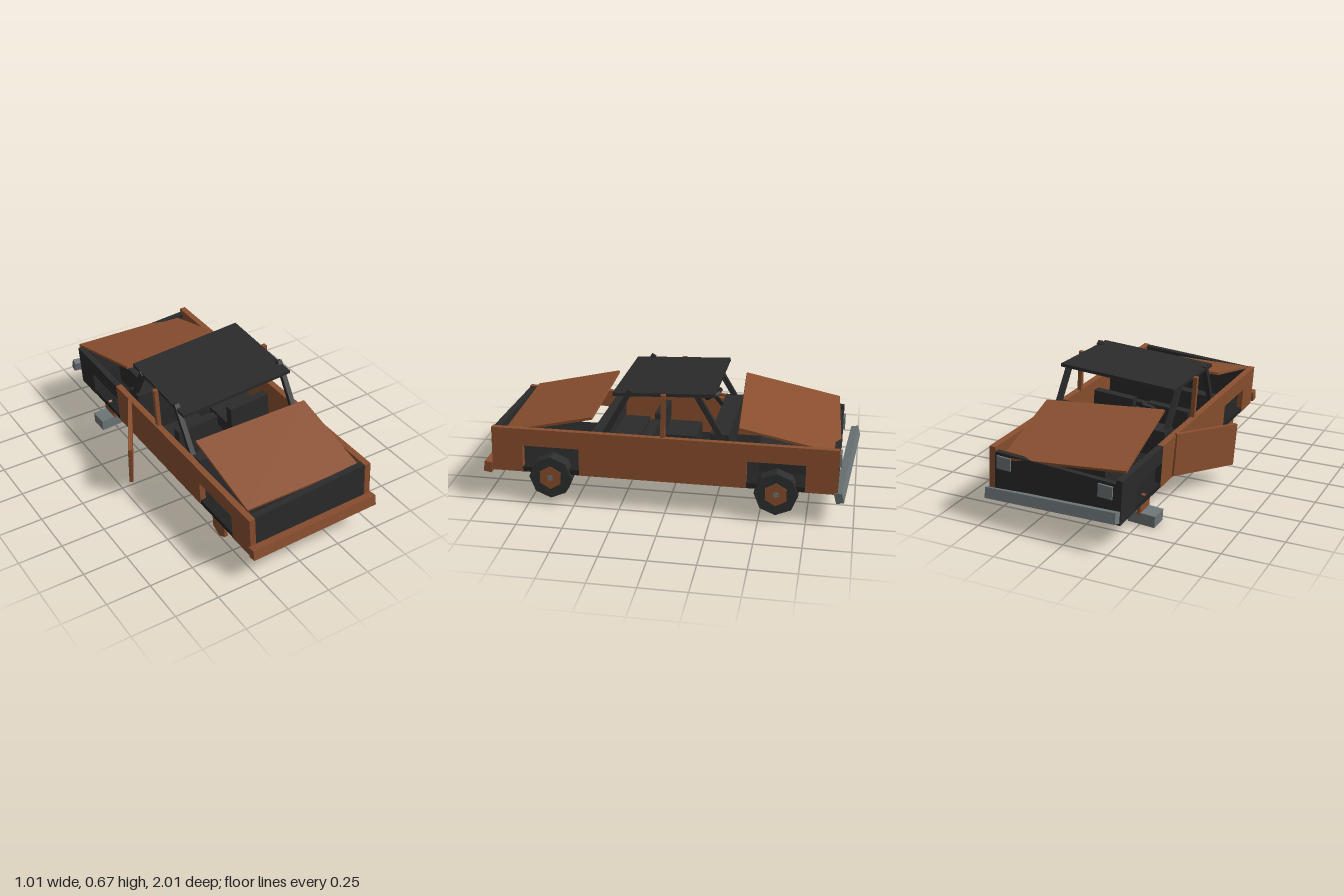
import * as THREE from 'three';

const V = (x, y, z) => new THREE.Vector3(x, y, z);

export function createModel() {
  const mat = (name, color) => {
    const m = new THREE.MeshStandardMaterial({ color, flatShading: true });
    m.name = name;
    return m;
  };
  const rust = mat('rust', 0x8a4f2f);
  const dark = mat('charcoal', 0x2b2b2b);
  const black = mat('black', 0x222222);
  const rubber = mat('rubber', 0x2d2f2f);
  const steel = mat('steel', 0x6e7678);

  const model = new THREE.Group();
  model.name = 'wreckedCar';
  // The whole shell leans to one side
  const body = new THREE.Group();
  body.name = 'body';
  body.position.set(0.1025, 0.15, 0);
  body.rotation.z = 0.07;
  model.add(body);

  const add = (parent, name, geo, material, x = 0, y = 0, z = 0) => {
    const m = new THREE.Mesh(geo, material);
    m.name = name;
    m.position.set(x, y, z);
    parent.add(m);
    return m;
  };
  const box = (parent, name, material, w, h, d, x, y, z) =>
    add(parent, name, new THREE.BoxGeometry(w, h, d), material, x, y, z);

  // Box placed by its centre and two edge directions, for bent and loose parts
  const slab = (name, material, size, c, xDir, zDir) => {
    const m = box(model, name, material, ...size, ...c);
    const x = V(...xDir).normalize();
    const y = V(...zDir).cross(x).normalize();
    const z = x.clone().cross(y);
    m.quaternion.setFromRotationMatrix(new THREE.Matrix4().makeBasis(x, y, z));
    return m;
  };

  // Square bar between two points
  const bar = (name, material, a, b, t) => {
    const m = box(body, name, material, t, a.distanceTo(b), t, 0, 0, 0);
    m.position.copy(a).add(b).multiplyScalar(0.5);
    m.quaternion.setFromUnitVectors(V(0, 1, 0), b.clone().sub(a).normalize());
  };

  // Side panel from z0 to z1 with rectangular wheel arches cut from below
  const T = 0.034, H = 0.245;
  const sidePanel = (name, material, side, z0, z1, arches) => {
    const s = new THREE.Shape();
    s.moveTo(z0, H);
    s.lineTo(z0, 0);
    for (const [a, b] of arches) {
      s.lineTo(a, 0);
      s.lineTo(a, 0.15);
      s.lineTo(b, 0.15);
      s.lineTo(b, 0);
    }
    s.lineTo(z1, 0);
    s.lineTo(z1, H);
    const g = new THREE.ExtrudeGeometry(s, { depth: T, bevelEnabled: false });
    g.rotateY(-Math.PI / 2);
    add(body, name, g, material, side > 0 ? 0.378 : -0.378 + T);
  };
  const front = [-0.74, -0.43], rear = [0.47, 0.78];
  sidePanel('leftSide', rust, 1, -0.91, 0.95, [front, rear]);
  sidePanel('rightSide', rust, -1, -0.43, 0.95, [rear]);
  sidePanel('rightFender', dark, -1, -0.91, -0.43, [[-0.74, -0.4301]]);

  // Floor and end panels
  box(body, 'floor', black, 0.752, 0.028, 1.858, 0, 0.014, 0.02);
  box(body, 'tailPanel', dark, 0.69, 0.24, 0.035, 0, 0.124, 0.925);
  box(body, 'nosePanel', dark, 0.69, 0.22, 0.03, 0, 0.112, -0.895);
  for (const s of [-1, 1]) box(body, 'headlight', steel, 0.08, 0.07, 0.012, s * 0.29, 0.17, -0.915);

  // Engine and cabin fittings
  box(body, 'engine', dark, 0.4, 0.16, 0.26, 0, 0.105, -0.61);
  box(body, 'dashboard', dark, 0.68, 0.15, 0.1, 0, 0.2, -0.28);
  for (const s of [-1, 1]) {
    box(body, 'seatCushion', dark, 0.25, 0.08, 0.2, s * 0.17, 0.07, 0);
    box(body, 'seatBack', dark, 0.25, 0.2, 0.05, s * 0.17, 0.13, 0.11);
  }
  box(body, 'rearBench', dark, 0.62, 0.09, 0.16, 0, 0.07, 0.29);
  box(body, 'rearBenchBack', dark, 0.66, 0.21, 0.05, 0, 0.13, 0.385);
  const wheel = add(body, 'steeringWheel', new THREE.CylinderGeometry(0.058, 0.058, 0.014, 10), black, -0.155, 0.332, -0.18);
  wheel.rotation.x = 0.55;
  bar('steeringColumn', black, V(-0.155, 0.332, -0.18), V(-0.155, 0.25, -0.25), 0.02);

  // Roof and its posts
  box(body, 'roof', dark, 0.68, 0.018, 0.54, 0, 0.472, 0.02).rotation.x = 0.045;
  for (const s of [-1, 1]) {
    bar('rearPost', dark, V(s * 0.33, 0.23, 0.335), V(s * 0.33, 0.487, 0.195), 0.028);
    bar('windscreenPost', dark, V(s * 0.33, 0.23, -0.305), V(s * 0.33, 0.48, -0.155), 0.028);
    box(body, 'doorPost', rust, 0.024, 0.25, 0.024, s * 0.354, 0.355, 0.018);
  }

  // Loose lids, hanging door and crooked bumpers
  slab('trunkLid', rust, [0.695, 0.014, 0.503], [0.083, 0.438, 0.645], [1, 0, 0], [0, -0.115, 0.49]);
  slab('hood', rust, [0.69, 0.014, 0.55], [0.065, 0.448, -0.63], [0.69, -0.043, -0.037], [0.042, 0.125, 0.53]);
  slab('openDoor', rust, [0.022, 0.24, 0.42], [-0.388, 0.236, -0.092], [0.37, 0, 0.205], [-0.205, -0.042, 0.37]);
  slab('rearBumper', rust, [0.775, 0.06, 0.045], [0.098, 0.181, 0.974], [1, 0.03, 0], [0, 0.15, 1]);
  slab('frontBumper', steel, [0.79, 0.058, 0.042], [0.095, 0.182, -0.95], [0.79, -0.045, 0.065], [0, -0.25, 1]);

  // Wheels: tyres remain on one side, bare hubs on the other
  const disc = (name, material, r, w, sides, x, y, z) => {
    const g = new THREE.CylinderGeometry(r, r, w, sides, 1, false, sides === 6 ? Math.PI / 6 : 0);
    g.rotateZ(Math.PI / 2);
    add(body, name, g, material, x, y, z);
  };
  for (const z of [0.625, -0.59]) {
    disc('tyre', rubber, 0.117, 0.08, 8, 0.352, -0.018, z);
    disc('hub', rust, 0.065, 0.086, 6, 0.353, -0.018, z);
    disc('hubCap', steel, 0.016, 0.092, 6, 0.354, -0.018, z);
    const y = z > 0 ? -0.05 : -0.03;
    disc('bareHub', rust, 0.065, 0.02, 6, -0.357, y, z);
    disc('axle', steel, 0.014, 0.11, 8, -0.305, y + 0.005, z);
  }

  // Block propping up the bare front corner
  box(model, 'propBlock', steel, 0.15, 0.065, 0.105, -0.265, 0.038, -0.59).rotation.z = 0.07;

  return model;
}
